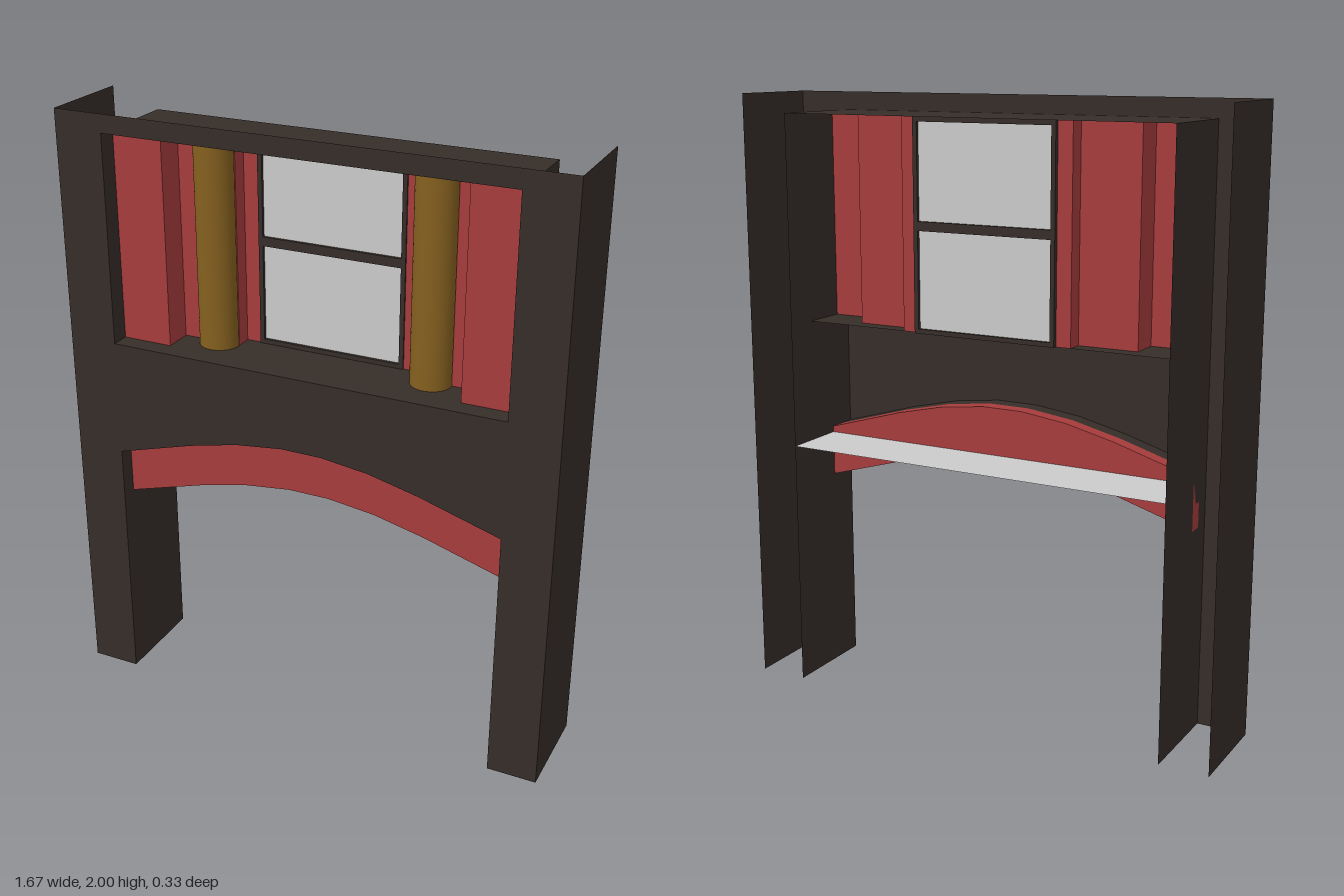
import * as THREE from 'three';

const OUT = 0.835, IN = 0.67, Z = 0.165, SILL = 1.25, CEIL = 1.94;

const material = (color) => new THREE.MeshStandardMaterial({ color, side: THREE.DoubleSide });
const wood = material(0x352d28), red = material(0xa83c3c), gold = material(0x85601f), grey = material(0xcccccc);

// Half of the arch's upper edge, from the leg to the crown
const HALF_ARCH = [[0.67, 0.86], [0.4, 0.94], [0.23, 0.98], [0.07, 1.0]];
const ARCH = [...HALF_ARCH, ...HALF_ARCH.map(([x, y]) => [-x, y]).reverse()];

const vectors = (pts) => pts.map(([x, y]) => new THREE.Vector2(x, y));
const rect = (x0, y0, x1, y1) => [[x0, y0], [x1, y0], [x1, y1], [x0, y1]];

export function createModel() {
  const group = new THREE.Group();

  const add = (name, geometry, mat, x = 0, y = 0, z = 0) => {
    const mesh = new THREE.Mesh(geometry, mat);
    mesh.name = name;
    mesh.position.set(x, y, z);
    group.add(mesh);
    return mesh;
  };

  // Upright panel standing on the line (x0, z0) - (x1, z1)
  const upright = (name, mat, x0, z0, x1, z1, y0, y1) => {
    const plane = new THREE.PlaneGeometry(Math.hypot(x1 - x0, z1 - z0), y1 - y0);
    add(name, plane, mat, (x0 + x1) / 2, (y0 + y1) / 2, (z0 + z1) / 2)
      .rotation.y = Math.atan2(z0 - z1, x1 - x0);
  };

  // Horizontal panel between the two inner walls
  const level = (name, mat, y, z0, z1) => {
    const plane = new THREE.PlaneGeometry(2 * IN, z1 - z0).rotateX(-Math.PI / 2);
    add(name, plane, mat, 0, y, (z0 + z1) / 2);
  };

  // Facade with two legs, an arch and the niche opening
  const facade = new THREE.Shape(vectors([
    [-OUT, 0], [-IN, 0], ...ARCH.slice().reverse(), [IN, 0], [OUT, 0], [OUT, 2], [-OUT, 2],
  ]));
  facade.holes.push(new THREE.Path(vectors(rect(-IN, SILL, IN, CEIL))));
  add('facade', new THREE.ShapeGeometry(facade), wood, 0, 0, Z);

  // Underside of the facade arch
  for (let i = 0; i < ARCH.length - 1; i++) {
    const [x0, y0] = ARCH[i], [x1, y1] = ARCH[i + 1];
    const strip = new THREE.PlaneGeometry(Math.hypot(x1 - x0, y1 - y0), 0.055).rotateX(-Math.PI / 2);
    add('archSoffit', strip, wood, (x0 + x1) / 2, (y0 + y1) / 2, Z - 0.0275)
      .rotation.z = Math.atan2(y1 - y0, x1 - x0);
  }

  // Red arched band behind the facade
  const band = new THREE.Shape(vectors([...ARCH, ...ARCH.map(([x, y]) => [x, y - 0.172]).reverse()]));
  add('archBand', new THREE.ExtrudeGeometry(band, { depth: 0.05, bevelEnabled: false }), red, 0, 0, 0.06);

  // Horizontal panels
  level('nicheCeiling', wood, CEIL, -Z, Z);
  level('nicheFloor', wood, SILL, -0.055, Z);
  level('lowerShelf', grey, 0.84, -Z, 0.06);

  // Stepped niche lining in plan, from the side wall to the window
  const lining = [[IN, 0.1], [0.5, 0.1], [0.5, 0], [0.3, 0], [0.3, -0.055], [0.25, -0.055]];
  for (const s of [-1, 1]) {
    upright('outerWall', wood, s * OUT, Z, s * OUT, -Z, 0, 2);
    upright('innerWall', wood, s * IN, Z, s * IN, -Z, 0, CEIL);
    for (let i = 0; i < lining.length - 1; i++) {
      const [x0, z0] = lining[i], [x1, z1] = lining[i + 1];
      upright('nicheLining', red, s * x0, z0, s * x1, z1, SILL, CEIL);
    }
    // Half-round column
    const column = new THREE.CylinderGeometry(0.067, 0.067, CEIL - SILL + 0.004, 20, 1, true, -Math.PI / 2, Math.PI);
    add('column', column, gold, s * 0.367, (SILL + CEIL) / 2 - 0.002, 0.005);
  }

  // Window frame with two panes
  const panes = [[1.265, 1.58], [1.61, 1.92]];
  const frame = new THREE.Shape(vectors(rect(-0.25, SILL, 0.25, CEIL)));
  for (const [y0, y1] of panes) {
    frame.holes.push(new THREE.Path(vectors(rect(-0.235, y0, 0.235, y1))));
    upright('windowPane', grey, -0.235, -0.06, 0.235, -0.06, y0, y1);
  }
  add('windowFrame', new THREE.ExtrudeGeometry(frame, { depth: 0.02, bevelEnabled: false }), wood, 0, 0, -0.07);

  return group;
}
